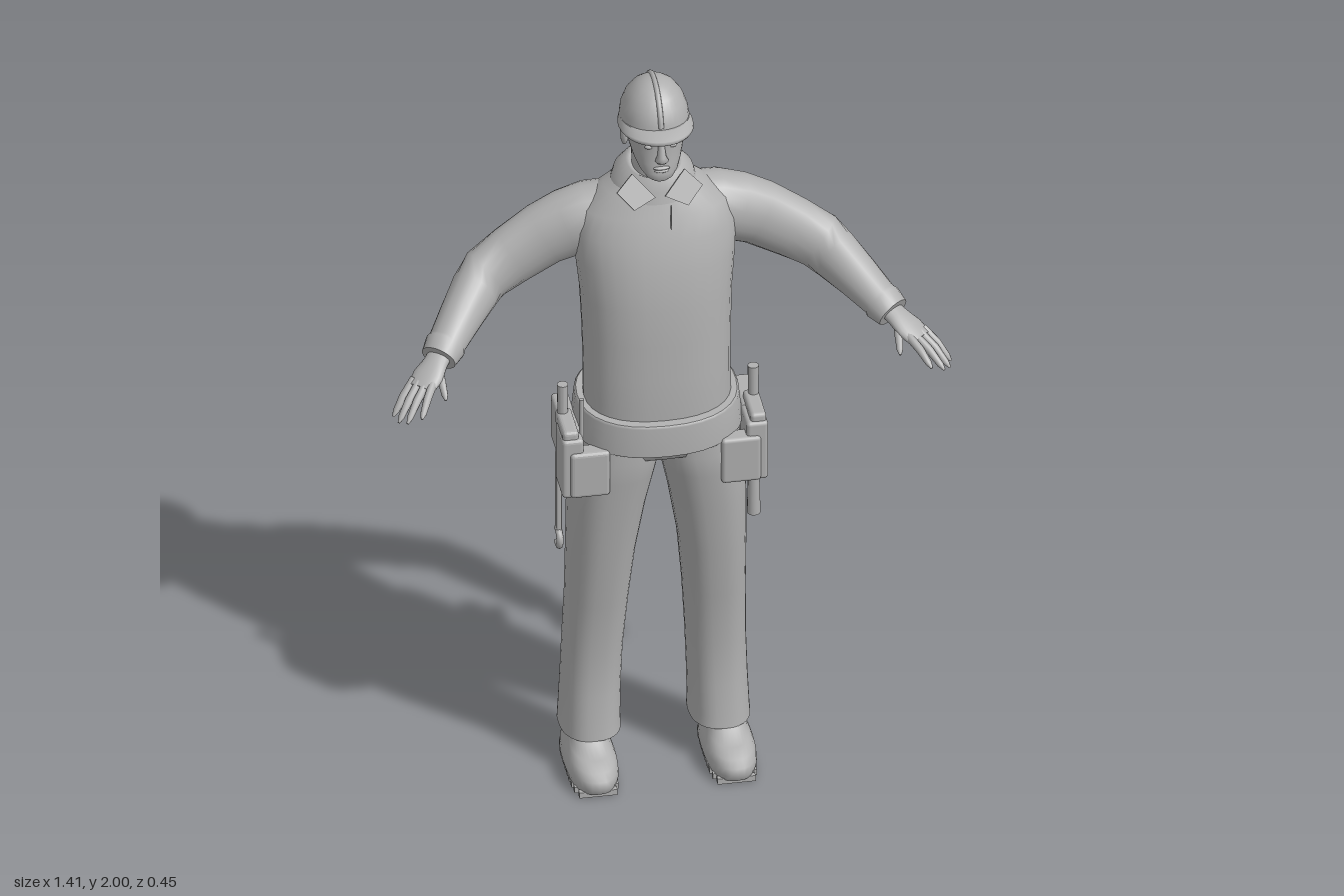
import * as THREE from 'three';
import { RoundedBoxGeometry } from 'three/addons/geometries/RoundedBoxGeometry.js';

const V = (x, y, z) => new THREE.Vector3(x, y, z);

// Skin a list of rings {c, u, v, n}: centre, two half axes and superellipse power
function loft(rings, segs = 28) {
  const pos = [], idx = [];
  const addRing = (r) => {
    const start = pos.length / 3, e = 2 / (r.n || 2);
    for (let j = 0; j < segs; j++) {
      const t = (j / segs) * Math.PI * 2, c = Math.cos(t), s = Math.sin(t);
      const p = r.c.clone()
        .addScaledVector(r.u, Math.sign(c) * Math.abs(c) ** e)
        .addScaledVector(r.v, Math.sign(s) * Math.abs(s) ** e);
      pos.push(p.x, p.y, p.z);
    }
    return start;
  };
  const starts = rings.map(addRing);
  for (let i = 0; i + 1 < rings.length; i++) for (let j = 0; j < segs; j++) {
    const k = (j + 1) % segs, a = starts[i], b = starts[i + 1];
    idx.push(a + j, a + k, b + k, a + j, b + k, b + j);
  }
  for (const end of [0, 1]) { // flat caps with their own vertices
    const r = rings[end ? rings.length - 1 : 0], s = addRing(r), m = pos.length / 3;
    pos.push(r.c.x, r.c.y, r.c.z);
    for (let j = 0; j < segs; j++) {
      const k = (j + 1) % segs;
      if (end) idx.push(m, s + j, s + k); else idx.push(m, s + k, s + j);
    }
  }
  const g = new THREE.BufferGeometry();
  g.setAttribute('position', new THREE.Float32BufferAttribute(pos, 3));
  g.setIndex(idx);
  g.computeVertexNormals();
  return g;
}

// Upright loft; rows are [y, xLeft, xRight, zFront, zBack]
const stack = (rows, n = 2.3, tilt = 0, segs = 32) => {
  const g = loft(rows.map(([y, a, b, f, k]) => ({
    c: V((a + b) / 2, y, (f + k) / 2), u: V((b - a) / 2, 0, 0), v: V(0, 0, -(f - k) / 2), n })), segs);
  const p = g.attributes.position; // lean: raise or lower with z
  if (tilt) for (let i = 0; i < p.count; i++) p.setY(i, p.getY(i) + tilt * (p.getZ(i) + 0.07));
  g.computeVertexNormals();
  return g;
};
// Symmetric upright loft; rows are [y, halfWidth, zFront, zBack]
const column = (rows, n, tilt, segs) => stack(rows.map(([y, h, f, b]) => [y, -h, h, f, b]), n, tilt, segs);

// Limb along a path; rows are [x, y, z, horizontalRadius, verticalRadius]
function limb(rows, segs = 20) {
  const pts = rows.map((r) => V(r[0], r[1], r[2]));
  return loft(rows.map((r, i) => {
    const w = pts[Math.min(i + 1, pts.length - 1)].clone().sub(pts[Math.max(i - 1, 0)]).normalize();
    const u = w.clone().cross(V(0, 1, 0)).normalize();
    return { c: pts[i], u: u.clone().multiplyScalar(r[3]), v: w.clone().cross(u).multiplyScalar(r[4]) };
  }), segs);
}

function mirrored(geo) {
  const g = geo.clone();
  if (!g.index) g.setIndex([...Array(g.attributes.position.count).keys()]);
  g.scale(-1, 1, 1);
  const a = g.index.array;
  for (let i = 0; i < a.length; i += 3) [a[i], a[i + 1]] = [a[i + 1], a[i]];
  g.computeVertexNormals();
  return g;
}

export function createModel() {
  const root = new THREE.Group();
  root.name = 'worker';
  const grey = new THREE.MeshStandardMaterial({ color: 0xb0b0b0, side: THREE.DoubleSide });
  grey.name = 'plain grey';
  const add = (name, geo) => {
    const m = new THREE.Mesh(geo, grey);
    m.name = name;
    root.add(m);
  };
  const pair = (name, geo) => { add(name + 'Left', geo); add(name + 'Right', mirrored(geo)); };
  const box = (w, h, d, x, y, z, r = 0.01) => new RoundedBoxGeometry(w, h, d, 2, r).translate(x, y, z);
  const rod = (r1, r2, h, x, y, z) => new THREE.CylinderGeometry(r1, r2, h, 14).translate(x, y, z);
  const blob = (rx, ry, rz, x, y, z) => new THREE.SphereGeometry(1, 16, 12).scale(rx, ry, rz).translate(x, y, z);

  // Shirt
  add('shirt', column([
    [1.03, 0.185, 0.072, -0.19], [1.12, 0.184, 0.075, -0.19], [1.2, 0.184, 0.071, -0.192],
    [1.3, 0.186, 0.068, -0.2], [1.4, 0.19, 0.062, -0.21], [1.5, 0.2, 0.048, -0.222],
    [1.58, 0.205, 0.024, -0.226], [1.64, 0.185, 0.002, -0.216], [1.685, 0.125, -0.018, -0.195],
    [1.725, 0.072, -0.03, -0.168]], 2.3));
  pair('sleeve', limb([
    [0.08, 1.61, -0.125, 0.075, 0.07], [0.15, 1.59, -0.128, 0.082, 0.088], [0.21, 1.567, -0.132, 0.076, 0.091],
    [0.27, 1.54, -0.134, 0.066, 0.087], [0.35, 1.492, -0.128, 0.061, 0.082], [0.42, 1.45, -0.115, 0.06, 0.078],
    [0.455, 1.425, -0.08, 0.06, 0.072], [0.5, 1.393, -0.022, 0.054, 0.06], [0.545, 1.358, 0.036, 0.048, 0.048],
    [0.55, 1.354, 0.042, 0.052, 0.051], [0.572, 1.338, 0.07, 0.046, 0.042]]));
  add('buttonPlacket', box(0.004, 0.12, 0.008, 0.025, 1.62, 0.008, 0.002).rotateX(0));

  // Collar band and two folded points
  add('collar', column([[1.685, 0.108, -0.01, -0.195], [1.715, 0.1, -0.018, -0.188],
    [1.75, 0.07, -0.028, -0.168], [1.745, 0.06, -0.035, -0.158]], 2.1, -0.2));
  const point = new THREE.Shape([[0.012, -0.008], [0.066, 0.056], [0.108, 0.012], [0.068, -0.036]]
    .map((p) => new THREE.Vector2(...p)));
  pair('collarPoint', new THREE.ExtrudeGeometry(point, { depth: 0.008, bevelEnabled: false })
    .rotateX(-0.5).translate(0, 1.705, -0.014));

  // Hands: palm, four fingers and a thumb
  pair('palm', limb([[0.558, 1.348, 0.05, 0.03, 0.022], [0.582, 1.333, 0.083, 0.032, 0.02],
    [0.606, 1.316, 0.112, 0.041, 0.018], [0.63, 1.298, 0.138, 0.037, 0.013]]));
  const fingers = [ // knuckle, tip
    [0.603, 1.305, 0.148, 0.642, 1.265, 0.225], [0.62, 1.302, 0.14, 0.676, 1.248, 0.213],
    [0.637, 1.3, 0.13, 0.694, 1.238, 0.19], [0.648, 1.3, 0.114, 0.702, 1.236, 0.157],
    [0.578, 1.322, 0.1, 0.572, 1.278, 0.172]];
  fingers.forEach(([a, b, c, d, e, f], i) => {
    const at = (t, r, lift) => [a + (d - a) * t, b + (e - b) * t + lift, c + (f - c) * t, r, r];
    pair(i < 4 ? 'finger' + (i + 1) : 'thumb',
      limb([at(-0.15, 0.011, 0), at(0.45, 0.0105, 0.007), at(0.85, 0.008, 0.002), at(1, 0.003, 0)], 10));
  });

  // Trousers
  add('hips', column([[0.945, 0.15, 0.03, -0.15], [0.965, 0.2, 0.066, -0.19],
    [1.0, 0.2, 0.076, -0.198], [1.06, 0.19, 0.076, -0.196]], 2.4));
  pair('trouserLeg', stack([
    [0.1, 0.086, 0.24, 0, -0.205], [0.13, 0.087, 0.238, -0.004, -0.203], [0.22, 0.085, 0.234, -0.014, -0.195],
    [0.34, 0.08, 0.23, -0.018, -0.186], [0.5, 0.069, 0.226, 0.006, -0.174], [0.65, 0.055, 0.225, 0.032, -0.174],
    [0.8, 0.03, 0.223, 0.053, -0.184], [0.9, 0.008, 0.216, 0.068, -0.19], [0.96, -0.005, 0.207, 0.074, -0.192],
    [1.04, -0.005, 0.19, 0.07, -0.19]], 2.4));

  // Boots with ribbed soles
  pair('boot', stack([
    [0.012, 0.112, 0.236, 0.105, -0.186], [0.03, 0.108, 0.24, 0.115, -0.19], [0.05, 0.11, 0.238, 0.112, -0.188],
    [0.066, 0.116, 0.232, 0.095, -0.186], [0.078, 0.122, 0.226, 0.055, -0.184], [0.092, 0.124, 0.222, 0.005, -0.182],
    [0.13, 0.126, 0.22, -0.03, -0.18]], 2.5));
  for (let i = 0; i < 11; i++) {
    const z = -0.172 + i * 0.026, w = 0.12 * Math.sqrt(1 - ((z + 0.04) / 0.165) ** 4);
    pair('soleRib' + (i + 1), new THREE.BoxGeometry(w, 0.016, 0.015).translate(0.174, 0.008, z));
  }

  // Tool belt and pouches
  add('belt', column([[1.012, 0.208, 0.1, -0.222], [1.016, 0.213, 0.102, -0.226],
    [1.095, 0.205, 0.1, -0.222], [1.1, 0.2, 0.095, -0.218]], 2.3, -0.1));
  pair('frontPouch', box(0.1, 0.13, 0.05, 0.19, 0.945, 0.052));
  pair('sidePouch', box(0.055, 0.17, 0.1, 0.232, 0.962, 0.018));
  pair('rearPouch', box(0.045, 0.13, 0.14, 0.228, 0.985, -0.085));
  pair('pouchFlap', box(0.04, 0.045, 0.12, 0.236, 1.045, 0.0));
  pair('screwdriverHandle', rod(0.014, 0.012, 0.15, 0.24, 1.073, -0.04));
  add('punch', rod(0.006, 0.006, 0.12, -0.205, 1.085, 0.03));

  // Hammer on the left hip
  add('hammerHandle', rod(0.01, 0.017, 0.31, 0.252, 0.825, -0.1));
  add('hammerHead', new THREE.CylinderGeometry(0.015, 0.015, 0.06, 14).rotateX(Math.PI / 2).translate(0.26, 0.977, -0.125));
  add('hammerClaw', new THREE.TubeGeometry(new THREE.CatmullRomCurve3(
    [V(0.26, 0.977, -0.1), V(0.26, 0.978, -0.065), V(0.26, 0.962, -0.03)]), 10, 0.011, 8));

  // Spanner on the right hip
  add('spannerShaft', box(0.014, 0.24, 0.024, -0.245, 0.81, -0.07, 0.005));
  add('spannerJaw', new THREE.TorusGeometry(0.022, 0.009, 8, 16, 4.4)
    .rotateZ(-0.63).rotateY(Math.PI / 2).rotateX(Math.PI / 2).translate(-0.245, 0.675, -0.07));

  // Neck, head and face
  add('neck', column([[1.66, 0.066, -0.03, -0.165], [1.74, 0.056, -0.035, -0.15], [1.84, 0.056, -0.045, -0.165]], 2));
  add('head', column([
    [1.756, 0.02, 0.008, -0.025], [1.764, 0.034, 0.014, -0.045], [1.78, 0.048, 0.016, -0.085],
    [1.805, 0.06, 0.012, -0.13], [1.835, 0.069, 0.009, -0.17], [1.865, 0.074, 0.009, -0.185],
    [1.895, 0.076, 0.01, -0.19], [1.93, 0.07, -0.01, -0.18]], 2.2));
  add('nose', loft([[1.815, 0.012, 0.012, 0.012], [1.823, 0.017, 0.016, 0.016], [1.835, 0.011, 0.013, 0.016],
    [1.872, 0.007, 0.008, 0.006]].map(([y, h, z, d]) => ({ c: V(0, y, z), u: V(h, 0, 0), v: V(0, 0, -d) })), 14));
  add('upperLip', blob(0.021, 0.005, 0.007, 0, 1.798, 0.012));
  add('lowerLip', blob(0.018, 0.005, 0.007, 0, 1.79, 0.012));
  pair('eye', blob(0.012, 0.006, 0.007, 0.029, 1.856, -0.001));
  pair('brow', blob(0.019, 0.005, 0.007, 0.031, 1.873, 0.001));
  pair('ear', blob(0.01, 0.029, 0.018, 0.076, 1.842, -0.09));

  // Hard hat: dome, brim and centre ridge
  add('hatDome', column([0, 0.18, 0.36, 0.54, 0.7, 0.83, 0.93, 0.985, 1].map((t) => {
    const a = t * Math.PI / 2, s = Math.max(Math.cos(a), 0.01);
    return [1.885 + 0.111 * Math.sin(a), 0.087 * s, -0.094 + 0.104 * s, -0.094 - 0.105 * s];
  }), 2.1));
  add('hatBrim', column([[1.872, 0.09, 0.052, -0.2], [1.877, 0.093, 0.056, -0.204],
    [1.884, 0.092, 0.054, -0.203], [1.896, 0.086, 0.015, -0.199]], 2.1, 0.14));
  const ridge = [];
  for (let i = 0; i <= 14; i++) {
    const a = 0.25 + (i / 14) * (Math.PI - 0.5);
    ridge.push(V(0, 1.885 + 0.109 * Math.sin(a), -0.094 + 0.104 * Math.cos(a)));
  }
  add('hatRidge', new THREE.TubeGeometry(new THREE.CatmullRomCurve3(ridge), 28, 0.007, 8));

  return root;
}
